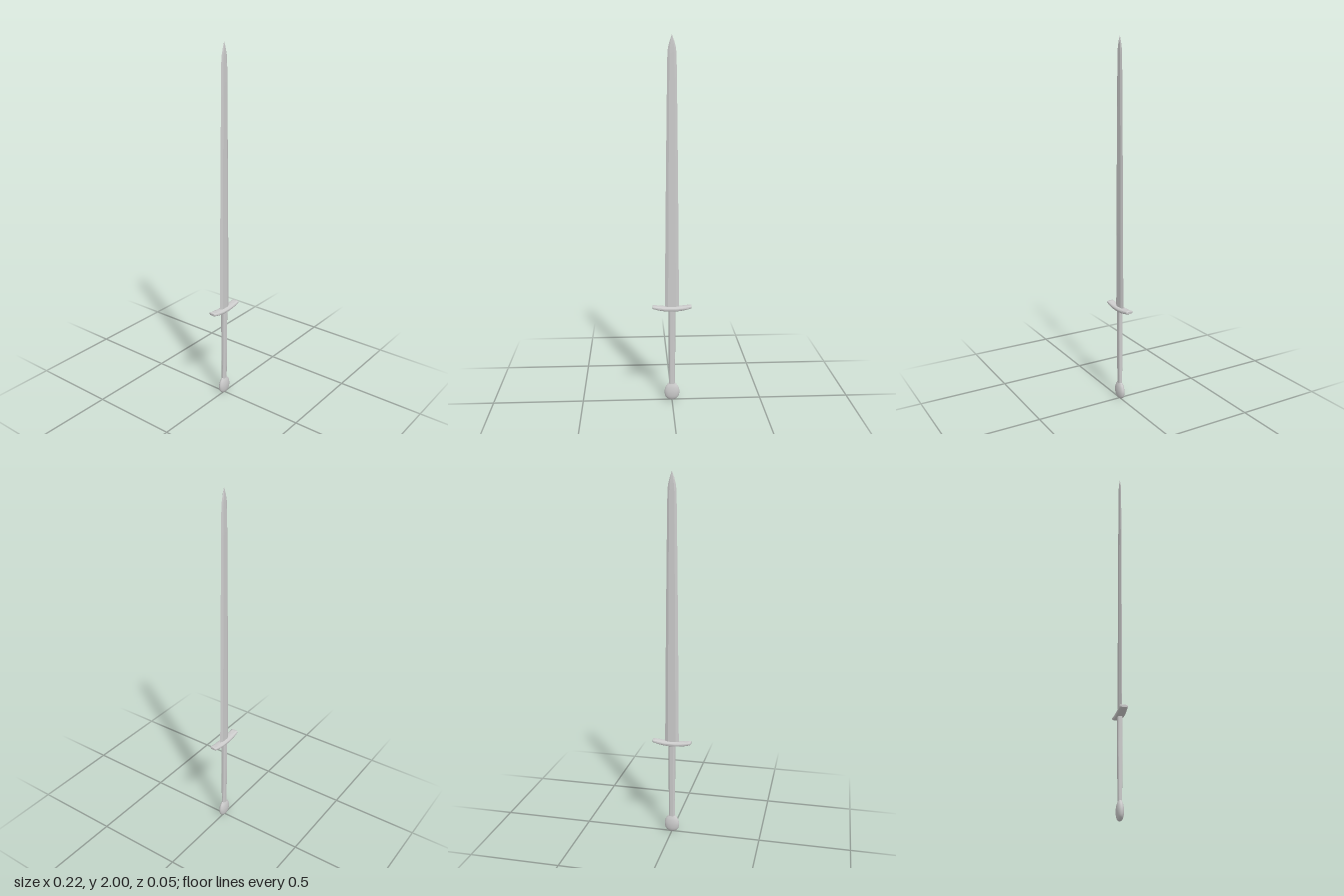
import * as THREE from 'three';
import { toCreasedNormals } from 'three/addons/utils/BufferGeometryUtils.js';

const steel = new THREE.MeshStandardMaterial({ color: 0xcccccc });

// Skin a closed surface over a list of rings (arrays of [x, y, z]) and cap both ends.
function loft(rings, crease) {
  const n = rings[0].length;
  const points = rings.flat();
  const index = [];
  for (let i = 0; i < rings.length - 1; i++) {
    for (let j = 0; j < n; j++) {
      const a = i * n + j, b = i * n + (j + 1) % n;
      index.push(a, a + n, b, b, a + n, b + n);
    }
  }
  const last = (rings.length - 1) * n;
  for (let j = 1; j < n - 1; j++) {
    index.push(0, j, j + 1);
    index.push(last, last + j + 1, last + j);
  }
  const geometry = new THREE.BufferGeometry();
  geometry.setAttribute('position', new THREE.Float32BufferAttribute(points.flat(), 3));
  geometry.setIndex(index);
  return toCreasedNormals(geometry, crease);
}

// Rounded outline: power 1 is an ellipse, smaller powers are squarer.
function outline(count, a, b, power) {
  const bend = (v) => Math.sign(v) * Math.pow(Math.abs(v), power);
  return Array.from({ length: count }, (_, j) => {
    const t = (j / count) * Math.PI * 2;
    return [a * bend(Math.cos(t)), b * bend(Math.sin(t))];
  });
}

function part(name, geometry) {
  const mesh = new THREE.Mesh(geometry, steel);
  mesh.name = name;
  return mesh;
}

// Long six-sided blade: flat faces, bevelled edges, short pointed tip.
function blade() {
  const stations = [ // height, half width, half thickness
    [0.53, 0.039, 0.008], [0.9, 0.036, 0.0075], [1.3, 0.032, 0.007],
    [1.7, 0.027, 0.006], [1.9, 0.024, 0.0055], [1.935, 0.021, 0.005],
    [1.97, 0.012, 0.004], [2.0, 0.001, 0.0008],
  ];
  const rings = stations.map(([y, w, t]) => {
    const f = w * 0.55;
    return [[w, y, 0], [f, y, t], [-f, y, t], [-w, y, 0], [-f, y, -t], [f, y, -t]];
  });
  return part('blade', loft(rings, 0.2));
}

// Crossguard: bar curving up towards its tips, deepest in the middle.
function guard() {
  const rings = [];
  const steps = 16;
  for (let i = -1; i <= steps + 1; i++) {
    const end = i < 0 || i > steps;
    const u = THREE.MathUtils.clamp((i / steps) * 2 - 1, -1, 1);
    const x = end ? u * 0.108 : u * 0.104;
    const shrink = end ? 0.75 : 1;
    const y = 0.536 + 0.012 * u * u;
    const halfZ = (0.024 - 0.003 * u * u) * shrink;
    const halfY = (0.013 - 0.004 * u * u) * shrink;
    rings.push(outline(20, halfZ, halfY, 0.7).map(([z, dy]) => [x, y + dy, z]));
  }
  return part('crossguard', loft(rings, 0.8));
}

// Oval grip, slightly slimmer towards the pommel.
function grip() {
  const stations = [[0.08, 0.018, 0.01], [0.2, 0.018, 0.012], [0.38, 0.019, 0.014], [0.53, 0.02, 0.014]];
  const rings = stations.map(([y, a, b]) => outline(20, a, b, 0.85).map(([x, z]) => [x, y, z]));
  return part('grip', loft(rings, 0.8));
}

// Pommel: flattened round knob that narrows a little into the grip.
function pommel() {
  const profile = [
    [0, 0], [0.016, 0.002], [0.029, 0.01], [0.038, 0.023], [0.042, 0.042],
    [0.041, 0.059], [0.035, 0.077], [0.026, 0.09], [0.018, 0.099], [0, 0.102],
  ].map(([r, y]) => new THREE.Vector2(r, y));
  const curve = new THREE.SplineCurve(profile).getPoints(27);
  curve.forEach((p) => { p.x = Math.max(p.x, 0); p.y = Math.max(p.y, 0); });
  const geometry = new THREE.LatheGeometry(curve, 32);
  geometry.scale(1, 1, 0.46);
  return part('pommel', geometry);
}

export function createModel() {
  const sword = new THREE.Group();
  sword.name = 'sword';
  sword.add(blade(), guard(), grip(), pommel());
  return sword;
}
